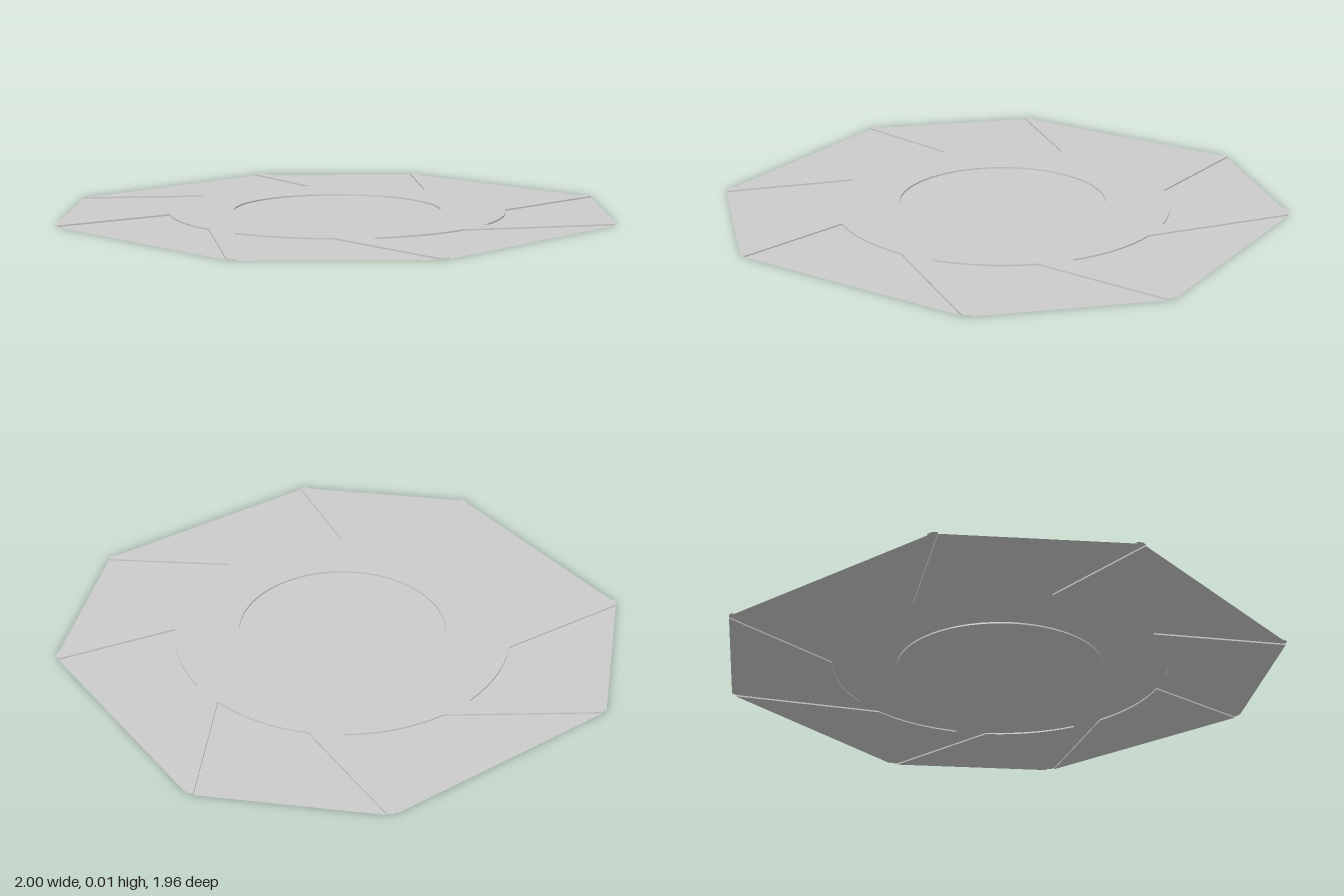
import * as THREE from 'three';

const STEP = 0.006;        // height of the raised star above the plates
const HUB = 0.655, WELL = 0.405;
const material = new THREE.MeshStandardMaterial({ color: 0xcccccc, side: THREE.DoubleSide });

// Points are (x, z) on the ground plane
const polar = (r, deg) => {
  const a = THREE.MathUtils.degToRad(deg);
  return new THREE.Vector2(r * Math.cos(a), r * Math.sin(a));
};
const arc = (r, from, to, n) =>
  Array.from({ length: n + 1 }, (_, i) => polar(r, from + (to - from) * i / n));

// Flat sheet facing up at height y
function sheet(name, points, y, hole) {
  const flip = p => new THREE.Vector2(p.x, -p.y);
  const shape = new THREE.Shape(points.map(flip));
  if (hole) shape.holes.push(new THREE.Path(hole.map(flip)));
  const mesh = new THREE.Mesh(new THREE.ShapeGeometry(shape).rotateX(-Math.PI / 2), material);
  mesh.position.y = y;
  mesh.name = name;
  return mesh;
}

// Upright step along a line of points, from the plates to the star
function wall(name, points) {
  const pos = [];
  for (let i = 0; i < points.length - 1; i++) {
    const a = points[i], b = points[i + 1];
    pos.push(a.x, 0, a.y, a.x, STEP, a.y, b.x, STEP, b.y,
      a.x, 0, a.y, b.x, STEP, b.y, b.x, 0, b.y);
  }
  const geo = new THREE.BufferGeometry();
  geo.setAttribute('position', new THREE.Float32BufferAttribute(pos, 3));
  geo.computeVertexNormals();
  const mesh = new THREE.Mesh(geo, material);
  mesh.name = name;
  return mesh;
}

export function createModel() {
  const group = new THREE.Group();
  group.name = 'octagonalPinwheelPanel';

  const corners = [[1, -0.487], [1, 0.487], [0.49, 0.982], [-0.49, 0.982],
    [-1, 0.487], [-1, -0.487], [-0.49, -0.982], [0.49, -0.982]]
    .map(([x, z]) => new THREE.Vector2(x, z));
  // Point on the rim a short way from one corner towards another
  const along = (from, to) => from.clone().add(to.clone().sub(from).setLength(0.02));

  const star = [];
  for (let k = 0; k < 8; k++) {
    const corner = corners[k], next = corners[(k + 1) % 8], prev = corners[(k + 7) % 8];
    const base = 45 * k;
    const hubArc = arc(HUB, base + 1.3, base + 35, 8);
    const tipAfter = along(corner, next), nextTip = along(next, corner);

    // Skewed arm of the star, then the hub edge up to the next arm
    star.push(along(corner, prev), corner, tipAfter, ...hubArc);

    // Lower plate between two arms, with the step around its inner sides
    const edge = [tipAfter, ...hubArc, nextTip];
    group.add(sheet('rimPlate', edge, 0), wall('plateStep', edge));
  }

  const well = arc(WELL, 0, 360, 64);
  group.add(
    sheet('raisedStar', star, STEP, well.slice(0, -1)),
    sheet('centreDisc', well.slice(0, -1), 0),
    wall('centreStep', well),
  );
  return group;
}
